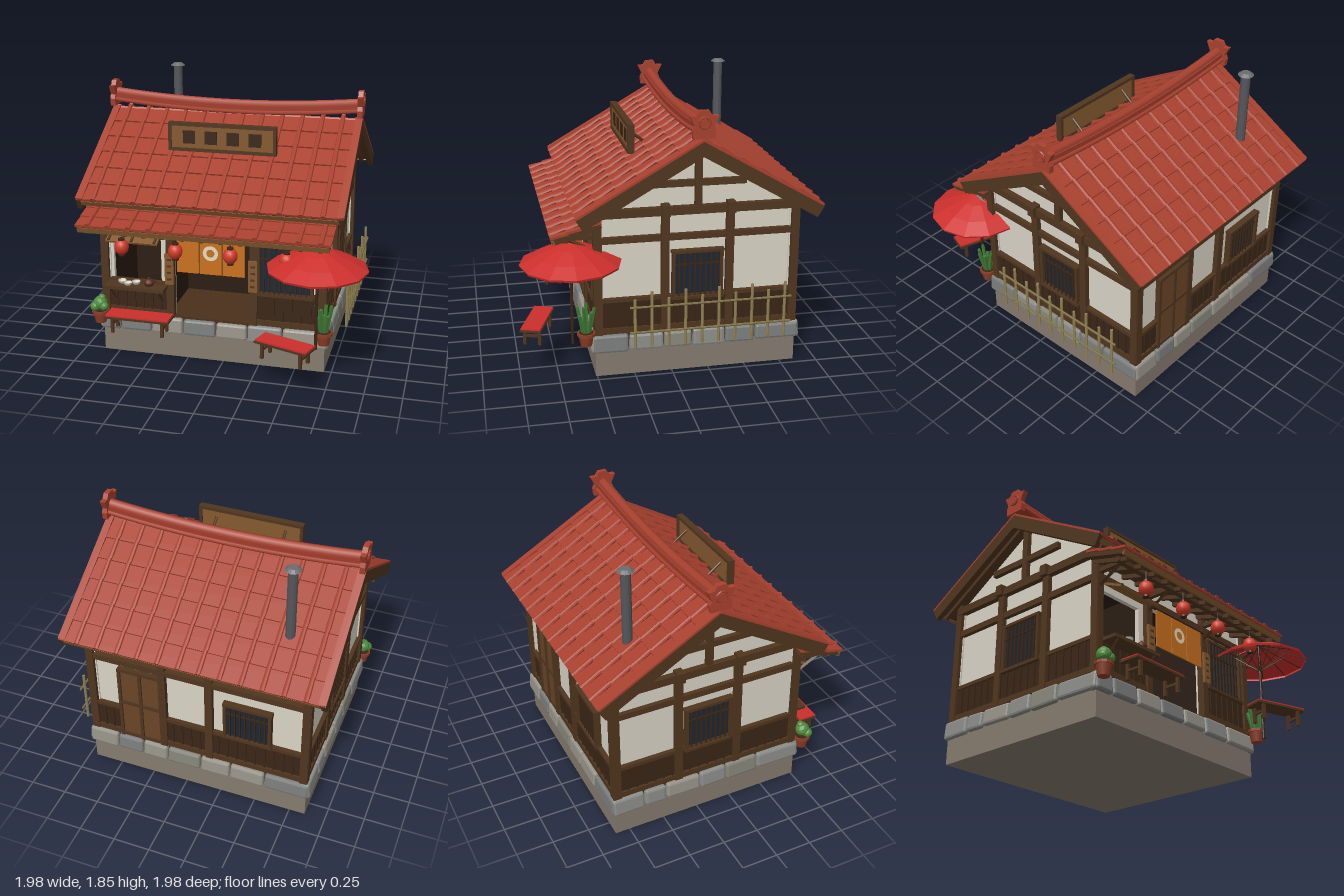
import * as THREE from 'three';
import { RoundedBoxGeometry } from 'three/addons/geometries/RoundedBoxGeometry.js';

const TILE = 0xa8412f, RIDGE = 0xa03c2b, DARK = 0x3a2616, WOOD = 0x50351f, LIGHT = 0x84592f;
const PLASTER = 0xd9d4c6, RED = 0xcc2f2c, CX = -0.08, CZ = -0.17;
const mats = new Map();
function mat(color, smooth = false) {
  const key = color + (smooth ? 's' : 'f');
  if (!mats.has(key)) mats.set(key, new THREE.MeshStandardMaterial({ color, flatShading: !smooth, side: THREE.DoubleSide }));
  return mats.get(key);
}
function add(g, name, geo, color, x = 0, y = 0, z = 0, smooth = false) {
  const m = new THREE.Mesh(geo, mat(color, smooth));
  m.name = name;
  m.position.set(x, y, z);
  g.add(m);
  return m;
}
const box = (g, name, color, w, h, d, x, y, z) => add(g, name, new THREE.BoxGeometry(w, h, d), color, x, y, z);
function rod(g, name, color, a, b, r, sides = 6) {
  const p = new THREE.Vector3(...a), q = new THREE.Vector3(...b), d = q.clone().sub(p);
  const m = add(g, name, new THREE.CylinderGeometry(r, r, d.length(), sides), color);
  m.position.copy(p).add(q).multiplyScalar(0.5);
  m.quaternion.setFromUnitVectors(new THREE.Vector3(0, 1, 0), d.normalize());
  return m;
}
function group(parent, name, x = 0, y = 0, z = 0, ry = 0) {
  const g = new THREE.Group();
  g.name = name;
  g.position.set(x, y, z);
  g.rotation.y = ry;
  parent.add(g);
  return g;
}
let seed = 7;
const rand = () => (seed = (seed * 16807) % 2147483647) / 2147483647;
const poly = pts => new THREE.Shape(pts.map(p => new THREE.Vector2(...p)));
const extrude = (shape, depth) => new THREE.ExtrudeGeometry(shape, { depth, bevelEnabled: false });

// Tiled slope falling towards local +z from its top edge
function tiledSlope(parent, name, width, length, angle, rows, firstRib) {
  const g = group(parent, name), step = length / rows;
  g.rotation.x = angle;
  box(g, 'roofBoard', WOOD, width - 0.02, 0.03, length, 0, -0.03, length / 2);
  box(g, 'eaveBoard', LIGHT, width - 0.02, 0.035, 0.02, 0, -0.035, length - 0.005);
  for (let r = 0; r < rows; r++) {
    const z = (r + 0.5) * step;
    box(g, 'tileRow', TILE, width, 0.016, step + 0.012, 0, -0.006, z).rotation.x = -0.075;
    for (let i = 0; i < 12; i++) {
      const rib = add(g, 'tileRib', new THREE.CylinderGeometry(0.015, 0.019, step + 0.01, 8), TILE, firstRib + i * 0.14, 0.006, z);
      rib.rotation.x = Math.PI / 2 - 0.06;
      rib.rotation.y = Math.PI;
      rib.rotation.x *= -1;
    }
  }
  for (let i = 0; i < 13; i++)
    box(g, 'rafter', WOOD, 0.025, 0.03, length - 0.03, -width / 2 + 0.07 + i * (width - 0.14) / 12, -0.058, length / 2);
  return g;
}

// Barred window
function barredWindow(g, s, y, w, h) {
  box(g, 'windowPane', 0x1c2733, w, h, 0.02, s, y, 0.012);
  for (const k of [-1, 1]) {
    box(g, 'windowFrame', WOOD, 0.02, h + 0.02, 0.045, s + k * w / 2, y, 0.02);
    box(g, 'windowFrame', WOOD, w + 0.03, 0.02, 0.05, s, y + k * h / 2, 0.02);
  }
  const n = Math.round(w / 0.035);
  for (let i = 1; i < n; i++) box(g, 'windowBar', DARK, 0.009, h, 0.012, s - w / 2 + i * w / n, y, 0.028);
  box(g, 'windowRail', DARK, w, 0.009, 0.012, s, y + h * 0.22, 0.026);
}

// Plaster wall with timber frame, facing local +z; holes are [s0, s1, y0, y1]
function timberWall(parent, name, half, x, z, ry, posts, skirts, holes = []) {
  const g = group(parent, name, x, 0, z, ry);
  const shape = poly([[-half, 0.28], [half, 0.28], [half, 1.14], [-half, 1.14]]);
  for (const [a, b, c, d] of holes) shape.holes.push(poly([[a, c], [a, d], [b, d], [b, c]]));
  add(g, 'plaster', extrude(shape, 0.03), PLASTER, 0, 0, -0.03);
  for (const s of posts) box(g, 'post', WOOD, 0.052, 0.88, 0.05, s, 0.73, 0.01);
  box(g, 'upperBeam', WOOD, half * 2, 0.055, 0.06, 0, 1.122, 0.01);
  box(g, 'middleBeam', WOOD, half * 2, 0.042, 0.04, 0, 0.943, 0.01);
  for (const [a, b] of skirts) {
    const c = (a + b) / 2, w = b - a;
    box(g, 'skirting', DARK, w, 0.24, 0.02, c, 0.41, 0.005);
    box(g, 'skirtRail', WOOD, w, 0.026, 0.035, c, 0.53, 0.012);
    box(g, 'skirtRail', WOOD, w, 0.04, 0.035, c, 0.315, 0.012);
    const n = Math.max(2, Math.round(w / 0.065));
    for (let i = 1; i < n; i++) box(g, 'batten', DARK, 0.013, 0.2, 0.016, a + i * w / n, 0.42, 0.016);
  }
  return g;
}

function bench(parent, x, z, ry, length) {
  const g = group(parent, 'bench', x, 0, z, ry);
  box(g, 'benchSeat', WOOD, length, 0.014, 0.14, 0, 0.35, 0);
  box(g, 'benchCloth', RED, length - 0.01, 0.01, 0.13, 0, 0.362, 0);
  for (const i of [-1, 1]) {
    for (const k of [-1, 1]) box(g, 'benchLeg', WOOD, 0.02, 0.11, 0.02, i * (length / 2 - 0.05), 0.295, k * 0.05);
    box(g, 'benchBrace', WOOD, 0.014, 0.016, 0.1, i * (length / 2 - 0.05), 0.3, 0);
  }
}

function pot(parent, x, z) {
  const g = group(parent, 'plantPot', x, 0.235, z);
  add(g, 'pot', new THREE.CylinderGeometry(0.052, 0.038, 0.075, 12), 0x8c3d28, 0, 0.038, 0, true);
  add(g, 'potRim', new THREE.CylinderGeometry(0.06, 0.06, 0.02, 12), 0x8c3d28, 0, 0.08, 0);
  add(g, 'soil', new THREE.CylinderGeometry(0.048, 0.048, 0.005, 12), DARK, 0, 0.091, 0);
  return g;
}

export function createModel() {
  const root = new THREE.Group();
  root.name = 'tiledShopHouse';

  // Plinth and stone course
  box(root, 'plinth', 0x857a6f, 1.56, 0.19, 1.36, CX, 0.095, CZ);
  box(root, 'floor', 0x4a301c, 1.54, 0.13, 1.34, CX, 0.235, CZ);
  const stones = [0x8b8b88, 0x7b7c7c, 0x97938a, 0x85857a];
  for (let f = 0; f < 4; f++) {
    const len = f % 2 ? 1.4 : 1.6, g = group(root, 'stoneCourse', CX, 0, CZ, f * Math.PI / 2);
    for (let s = -len / 2, i = 0; s < len / 2 - 0.02; i++) {
      let w = 0.15 + rand() * 0.1;
      if (len / 2 - s - w < 0.12) w = len / 2 - s;
      const stone = add(g, 'stone', new RoundedBoxGeometry(w - 0.008, 0.105 + rand() * 0.02, 0.07, 1, 0.016), stones[Math.floor(rand() * 4)],
        s + w / 2, 0.23, f % 2 ? 0.77 : 0.67);
      stone.rotation.set(-0.08, 0, (rand() - 0.5) * 0.05);
      s += w;
    }
  }

  // Walls
  const front = timberWall(root, 'frontWall', 0.76, CX, 0.48, 0, [-0.755, -0.29, 0.29, 0.755],
    [[-0.74, -0.3], [0.3, 0.74]], [[-0.7, -0.36, 0.52, 0.87], [-0.265, 0.265, 0.285, 0.92]]);
  barredWindow(front, 0.505, 0.7, 0.36, 0.35);
  const back = timberWall(root, 'backWall', 0.76, CX, -0.82, Math.PI, [-0.755, -0.24, 0.09, 0.755], [[-0.74, -0.56], [-0.24, 0.74]]);
  barredWindow(back, 0.36, 0.68, 0.31, 0.28);
  box(back, 'backDoor', LIGHT - 0x1a1408, 0.28, 0.57, 0.025, -0.4, 0.585, 0.012);
  for (const s of [-0.55, -0.4, -0.25]) box(back, 'doorStile', WOOD, 0.022, 0.6, 0.045, s, 0.59, 0.014);
  for (const y of [0.31, 0.6, 0.88]) box(back, 'doorRail', WOOD, 0.31, 0.024, 0.042, -0.4, y, 0.014);
  for (const k of [-1, 1]) {
    const g = timberWall(root, k > 0 ? 'leftWall' : 'rightWall', 0.66, CX + k * 0.75, CZ, k * Math.PI / 2,
      [-0.655, -0.215, 0.215, 0.655], [[-0.64, 0.64]]);
    barredWindow(g, 0, 0.68, 0.32, 0.32);
    add(g, 'gablePlaster', extrude(poly([[-0.64, 1.1], [0.64, 1.1], [0.64, 1.16], [0, 1.54], [-0.64, 1.16]]), 0.03), PLASTER, 0, 0, -0.03);
    box(g, 'gableTie', WOOD, 0.63, 0.042, 0.04, 0, 1.3, 0.012);
    box(g, 'kingPost', WOOD, 0.045, 0.4, 0.045, 0, 1.33, 0.012);
    for (const s of [-0.215, 0.215]) box(g, 'beamEnd', WOOD, 0.055, 0.075, 0.09, s, 1.13, 0.02);
  }

  // Dark room behind the openings
  box(root, 'innerBackWall', 0x2a1b11, 1.46, 0.82, 0.02, CX, 0.7, 0);
  box(root, 'innerCeiling', 0x2a1b11, 1.46, 0.02, 0.46, CX, 1, 0.23);
  for (const x of [-0.79, -0.4, 0.24]) box(root, 'innerSideWall', 0x2a1b11, 0.015, 0.78, 0.44, x, 0.68, 0.23);
  box(root, 'blueCloth', 0x26374f, 0.16, 0.1, 0.01, -0.18, 0.6, 0.1);

  // Main roof
  const A = Math.PI / 6, L = 0.925;
  for (const k of [0, 1]) {
    const holder = group(root, k ? 'backRoof' : 'frontRoof', CX, 1.6, CZ, k * Math.PI);
    const slope = tiledSlope(holder, 'mainSlope', 1.77, L, A, 6, k ? -0.765 : -0.775);
    for (const s of [-1, 1]) box(slope, 'bargeBoard', WOOD, 0.035, 0.085, L + 0.01, s * 0.882, -0.045, L / 2);
    for (const s of [-1, 1]) box(slope, 'vergeTile', TILE, 0.05, 0.014, L, s * 0.875, 0.004, L / 2);
  }

  // Sagging ridge with end ornaments
  const ridgeLine = y => new THREE.QuadraticBezierCurve3(new THREE.Vector3(-0.96, y + 0.05, CZ), new THREE.Vector3(CX, y - 0.045, CZ), new THREE.Vector3(0.8, y + 0.05, CZ));
  const low = ridgeLine(1.6).getPoints(16).map(p => [p.x, p.y]), high = ridgeLine(1.655).getPoints(16).map(p => [p.x, p.y]).reverse();
  add(root, 'ridgeCore', extrude(poly([...low, ...high]), 0.09), RIDGE, 0, 0, CZ - 0.045);
  add(root, 'ridgeCap', new THREE.TubeGeometry(ridgeLine(1.655), 16, 0.034, 8), TILE, 0, 0, 0, true);
  for (const k of [-1, 1])
    add(root, 'ridgeEdge', new THREE.TubeGeometry(ridgeLine(1.612), 16, 0.015, 6), TILE, 0, 0, k * 0.048, true);
  const crest = [[0.07, 0], [0.075, 0.05], [0.062, 0.08], [0.093, 0.145], [0.05, 0.145], [0.03, 0.178]];
  const crestShape = poly([...crest, ...crest.map(([a, b]) => [-a, b]).reverse()]);
  for (const k of [-1, 1]) {
    const g = group(root, 'ridgeOrnament', CX + k * 0.882, 1.615, CZ, k * Math.PI / 2);
    add(g, 'crest', extrude(crestShape, 0.035), TILE, 0, 0, -0.015);
    add(g, 'crestRing', new THREE.TorusGeometry(0.034, 0.008, 6, 14), RIDGE, 0, 0.1, 0.022);
    add(g, 'crestBoss', new THREE.CylinderGeometry(0.028, 0.028, 0.03, 12), TILE, 0, 0.1, 0.015).rotation.x = Math.PI / 2;
  }

  // Front awning and brackets
  const awning = group(root, 'awning', CX, 1.1, 0.475);
  tiledSlope(awning, 'awningSlope', 1.69, 0.325, 0.28, 3, -0.76);
  box(root, 'awningBeam', WOOD, 1.6, 0.035, 0.035, CX, 0.975, 0.69);
  for (const s of [-0.755, -0.29, 0.29, 0.755]) {
    rod(root, 'awningStrut', WOOD, [CX + s, 0.87, 0.5], [CX + s, 0.97, 0.68], 0.013, 4);
    box(root, 'awningArm', WOOD, 0.03, 0.03, 0.22, CX + s, 0.975, 0.59);
  }

  // Roof sign with plain panels
  const sign = group(root, 'roofSign', CX, 1.497, 0.195);
  box(sign, 'signBoard', LIGHT, 0.72, 0.17, 0.025, 0, 0, 0);
  for (const k of [-1, 1]) {
    box(sign, 'signFrame', WOOD, 0.75, 0.022, 0.045, 0, k * 0.087, 0);
    box(sign, 'signFrame', WOOD, 0.022, 0.195, 0.045, k * 0.364, 0, 0);
    rod(sign, 'signStay', WOOD, [k * 0.25, 0.03, -0.01], [k * 0.25, -0.04, -0.1], 0.01);
  }
  for (let i = 0; i < 4; i++) box(sign, 'signPanel', DARK, 0.085, 0.09, 0.012, -0.23 + i * 0.153, 0, 0.011);

  // Stove pipe
  rod(root, 'chimney', 0x55565a, [-0.637, 1.25, -0.63], [-0.637, 1.83, -0.63], 0.033, 12);
  add(root, 'chimneyCap', new THREE.CylinderGeometry(0.03, 0.054, 0.018, 12), 0x6b6c6e, -0.637, 1.838, -0.63);

  // Doorway curtain and post plaques
  rod(root, 'curtainRod', DARK, [-0.35, 0.905, 0.52], [0.19, 0.905, 0.52], 0.008);
  for (let i = 0; i < 3; i++) box(root, 'curtainPanel', 0xc9711f, 0.152, 0.265, 0.008, CX + (i - 1) * 0.158, 0.77, 0.52);
  add(root, 'curtainRing', new THREE.RingGeometry(0.028, 0.053, 20), 0xe8dcc0, CX, 0.79, 0.527);
  for (const s of [-0.29, 0.29]) {
    box(root, 'plaque', LIGHT, 0.062, 0.22, 0.018, CX + s, 0.65, 0.523);
    for (let i = 0; i < 4; i++) box(root, 'plaqueMark', WOOD, 0.03, 0.014, 0.004, CX + s, 0.58 + i * 0.047, 0.533);
  }

  // Serving window: hatch, counter and crockery
  const hatch = box(root, 'hatch', LIGHT, 0.36, 0.014, 0.15, -0.6, 0.885, 0.56);
  hatch.rotation.x = 0.42;
  for (const x of [-0.76, -0.6, -0.44]) box(root, 'hatchBatten', WOOD, 0.016, 0.012, 0.15, x, 0.897, 0.56).rotation.x = 0.42;
  box(root, 'counter', WOOD, 0.42, 0.022, 0.13, -0.6, 0.515, 0.55);
  for (const k of [-1, 1]) rod(root, 'counterBrace', WOOD, [-0.6 + k * 0.17, 0.4, 0.5], [-0.6 + k * 0.17, 0.505, 0.6], 0.01, 4);
  const bowl = [[0.012, 0], [0.026, 0.012], [0.03, 0.026]].map(p => new THREE.Vector2(...p));
  [[-0.7, 0.55], [-0.65, 0.58], [-0.6, 0.55]].forEach(([x, z]) => add(root, 'bowl', new THREE.LatheGeometry(bowl, 12), 0xd6d0c0, x, 0.527, z, true));
  add(root, 'teapot', new THREE.SphereGeometry(0.036, 12, 8), 0x5a2a1e, -0.505, 0.555, 0.56, true).scale.y = 0.8;
  rod(root, 'teapotSpout', 0x5a2a1e, [-0.48, 0.55, 0.56], [-0.455, 0.575, 0.56], 0.007);
  add(root, 'teapotKnob', new THREE.SphereGeometry(0.008, 8, 6), 0x5a2a1e, -0.505, 0.587, 0.56, true);

  // Paper lanterns
  for (let i = 0; i < 4; i++) {
    const g = group(root, 'lantern', -0.635 + i * 0.369, 0.857, 0.71);
    add(g, 'lanternShade', new THREE.SphereGeometry(0.048, 14, 10), 0xd23a28, 0, 0, 0, true).scale.y = 1.12;
    for (const k of [-1, 1]) add(g, 'lanternCap', new THREE.CylinderGeometry(0.022, 0.022, 0.014, 10), DARK, 0, k * 0.053, 0);
    rod(g, 'lanternCord', DARK, [0, 0.05, 0], [0, 0.13, 0], 0.003, 4);
  }

  // Parasol
  const parasol = group(root, 'parasol', 0.662, 0, 0.655);
  const canopy = [[0.001, 0.945], [0.11, 0.912], [0.23, 0.862], [0.33, 0.81], [0.325, 0.795]].map(p => new THREE.Vector2(...p));
  add(parasol, 'canopy', new THREE.LatheGeometry(canopy, 12), RED);
  rod(parasol, 'parasolPole', DARK, [0, 0.235, 0], [0, 0.95, 0], 0.01, 8);
  for (let i = 0; i < 12; i++) {
    const c = Math.cos(i * Math.PI / 6), s = Math.sin(i * Math.PI / 6);
    rod(parasol, 'parasolStay', WOOD, [0, 0.735, 0], [c * 0.19, 0.865, s * 0.19], 0.004, 4);
    rod(parasol, 'parasolRib', DARK, [0, 0.935, 0], [c * 0.32, 0.808, s * 0.32], 0.004, 4);
  }

  // Benches
  bench(root, -0.54, 0.68, 0, 0.45);
  bench(root, 0.5, 0.87, -0.33, 0.38);

  // Potted plants
  const round = pot(root, -0.86, 0.57);
  [[0, 0.14, 0, 0.05], [-0.03, 0.12, 0.025, 0.034], [0.034, 0.125, 0.02, 0.032], [0.01, 0.175, -0.01, 0.026]]
    .forEach(([x, y, z, r]) => add(round, 'roundCactus', new THREE.IcosahedronGeometry(r, 1), 0x4f8a3c, x, y, z));
  const spiky = pot(root, 0.7, 0.57);
  for (let i = 0; i < 9; i++) {
    const a = i * 2.4, lean = i ? 0.055 : 0, h = 0.2 + 0.1 * rand();
    rod(spiky, 'leaf', 0x3f7a35, [Math.cos(a) * 0.02, 0.08, Math.sin(a) * 0.02], [Math.cos(a) * lean, h, Math.sin(a) * lean], 0.012, 5);
  }

  // Bamboo fence
  const fence = group(root, 'bambooFence', 0.81, 0, 0);
  for (let i = 0; i < 10; i++)
    rod(fence, 'fencePole', 0x8f8050, [0, 0.24, 0.265 - i * 0.111], [0, i % 2 ? 0.625 : 0.575, 0.265 - i * 0.111], 0.01, 7);
  for (const y of [0.35, 0.525]) rod(fence, 'fenceRail', 0x7d6f45, [0.012, y, 0.3], [0.012, y, -0.775], 0.008, 7);
  return root;
}
